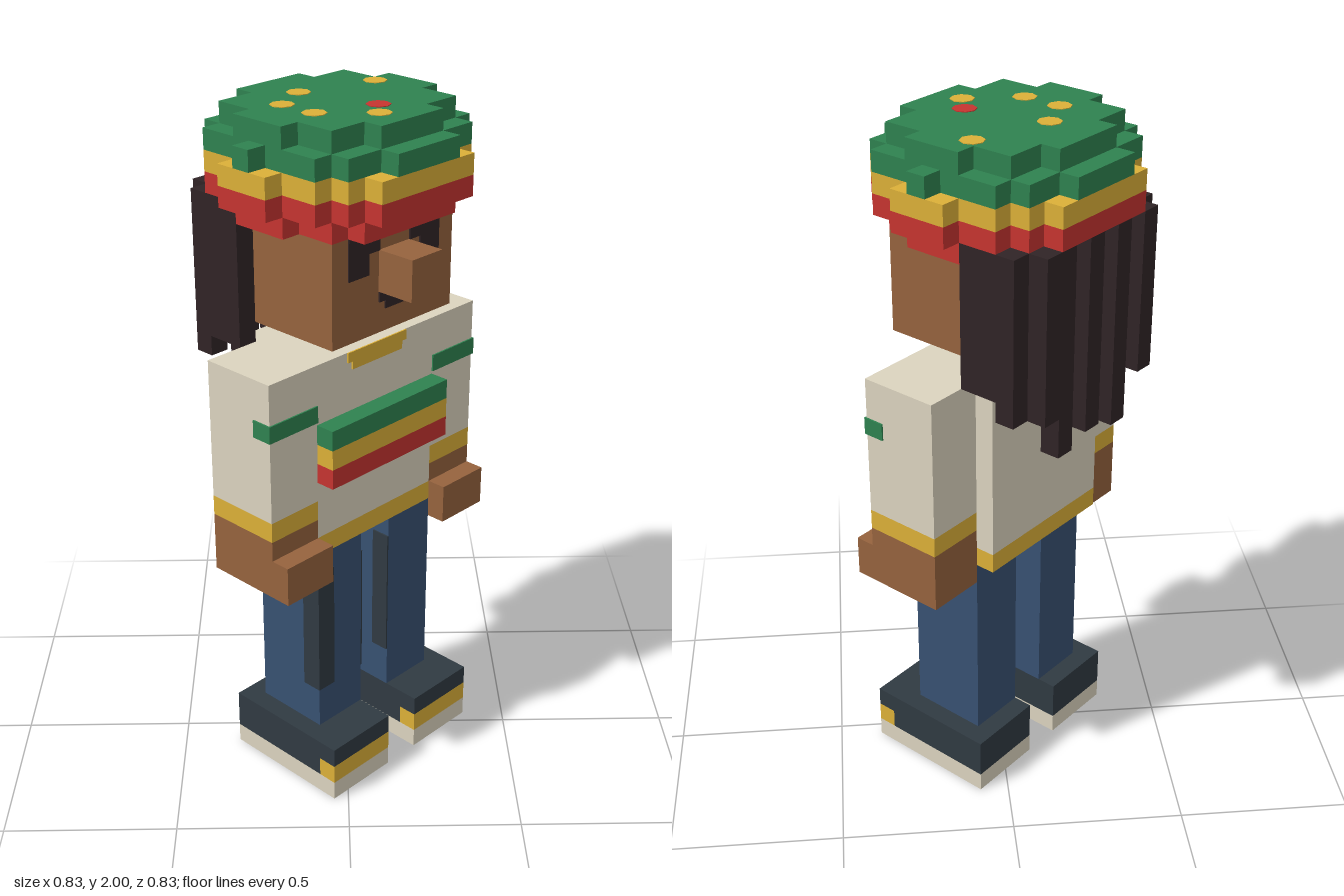
import * as THREE from 'three';

const U = 1 / 17; // one block; the figure is 34 blocks tall

export function createModel() {
  const mat = (name, color) => {
    const m = new THREE.MeshStandardMaterial({ color });
    m.name = name;
    return m;
  };
  const cream = mat('cream', 0xdcd4bf);
  const gold = mat('gold', 0xdcb038);
  const red = mat('red', 0xc63430);
  const green = mat('green', 0x2f8250);
  const skin = mat('skin', 0x96633e);
  const denim = mat('denim', 0x385172);
  const dark = mat('charcoal', 0x303a42);
  const hair = mat('hair', 0x302426);

  const model = new THREE.Group();
  model.name = 'blockFigure';
  const figure = new THREE.Group();
  figure.name = 'figure';
  figure.rotation.y = Math.PI / 4; // stands turned by an eighth
  model.add(figure);

  // Box from its extents in blocks
  const box = (name, m, x0, x1, y0, y1, z0, z1) => {
    const g = new THREE.BoxGeometry((x1 - x0) * U, (y1 - y0) * U, (z1 - z0) * U);
    g.translate((x0 + x1) / 2 * U, (y0 + y1) / 2 * U, (z0 + z1) / 2 * U);
    const mesh = new THREE.Mesh(g, m);
    mesh.name = name;
    figure.add(mesh);
    return mesh;
  };
  // Same box on the left (+x) and right (-x)
  const pair = (name, m, x0, x1, ...yz) => {
    box(name + 'Left', m, x0, x1, ...yz);
    box(name + 'Right', m, -x1, -x0, ...yz);
  };
  const T = 0.08; // painted plate thickness in blocks

  // Shoes
  pair('sole', cream, 1, 5, 0, 1, -3, 4);
  pair('shoe', dark, 1, 5, 1, 2, -3, 3);
  pair('toeBand', gold, 1, 5, 1, 2, 3, 4);
  pair('shoeTop', dark, 1, 5, 2, 3, -3, 4);

  // Legs with dark patches
  pair('leg', denim, 1, 4, 3, 13, -2, 2);
  box('legPatchFront', dark, -4, -3, 5.2, 12, 2, 2 + T);
  box('legPatchSide', dark, -4 - T, -4, 5.2, 12, 1, 2 + T);
  pair('legPatchInner', dark, 1 - T, 1, 5.2, 12, 1, 2);

  // Torso
  box('hem', gold, -4, 4, 13, 14, -3, 2);
  box('shirt', cream, -4, 4, 14, 23, -3, 2);
  [red, gold, green].forEach((m, i) => box('chestBand', m, -4, 4, 17 + i, 18 + i, 2, 3));
  box('collar', gold, -2, 2, 22.5, 23, 2, 2 + T);
  box('collarLower', gold, -1.7, 1.7, 22.1, 22.5, 2, 2 + T);

  // Arms
  pair('sleeve', cream, 4, 7, 16, 23, -2, 2);
  pair('cuff', gold, 4, 7, 15, 16, -2, 2);
  pair('hand', skin, 4, 7, 12, 15, -2, 2);
  pair('fingers', skin, 4, 7, 12, 14, 2, 3);
  pair('sleeveStripeFront', green, 4, 7, 20.15, 21, 2, 2 + T);
  pair('sleeveStripeSide', green, 7, 7 + T, 20.15, 21, 1, 2 + T);

  // Head and face
  box('neck', skin, -2, 2, 23, 24, -3, 1);
  box('head', skin, -4, 4, 24, 29, -5, 3);
  box('nose', skin, -1, 1, 26, 28, 3, 5);
  pair('brow', hair, 1, 3, 28, 29, 3, 3 + T);
  pair('eye', hair, 1.7, 3, 27, 28, 3, 3 + T);
  box('mouth', hair, -1, 1, 25.5, 26, 3, 3 + T);
  box('mouthLower', hair, -0.6, 0.6, 25.1, 25.5, 3, 3 + T);

  // Hair strands at the sides and back
  pair('sideHair', hair, 4, 5, 23, 30, -4, -2);
  pair('sideStrand', hair, 4, 5, 22, 30, -5, -4);
  pair('cornerStrand', hair, 3, 4, 22, 30, -6, -5);
  for (const [x, y] of [[2, 20], [0, 20.5], [-2, 20]]) {
    box('backStrand', hair, x, x + 1, y, 30, -6, -5);
  }

  // Knitted cap: each layer is a rounded disc of crossed boxes [halfX, z0, z1]
  const layer = (name, m, y, rows) =>
    rows.forEach(([hx, z0, z1]) => box(name, m, -hx, hx, y, y + 1, z0, z1));
  const wide = [[5, -4, 3], [4, -5, 4], [3, -6, 5], [6, -2, 1]];
  layer('capBrim', red, 29, [[4, -5, 3], [5, -2, 1], [3, -5, 4]]);
  layer('capRedBand', red, 30, wide);
  layer('capGoldBand', gold, 31, wide);
  layer('capGreenBand', green, 32, [[5, -4, 3], [4, -5, 4], [2, -6, 5], [6, -1, 0]]);
  layer('capTop', green, 33, [[4, -4, 3], [5, -2, 1], [2, -5, 4]]);

  // Spots on the cap
  const spot = new THREE.CylinderGeometry(0.57 * U, 0.57 * U, 0.004, 8);
  const spots = [[3.5, -1.5], [-0.5, -2.5], [-2.5, -1.5], [-2.5, 0.5], [-0.5, 2.5], [0.5, 1.5]];
  spots.forEach(([x, z], i) => {
    const mesh = new THREE.Mesh(spot, i === 5 ? red : gold);
    mesh.name = 'capSpot';
    mesh.position.set(x * U, 2, z * U);
    figure.add(mesh);
  });

  return model;
}
